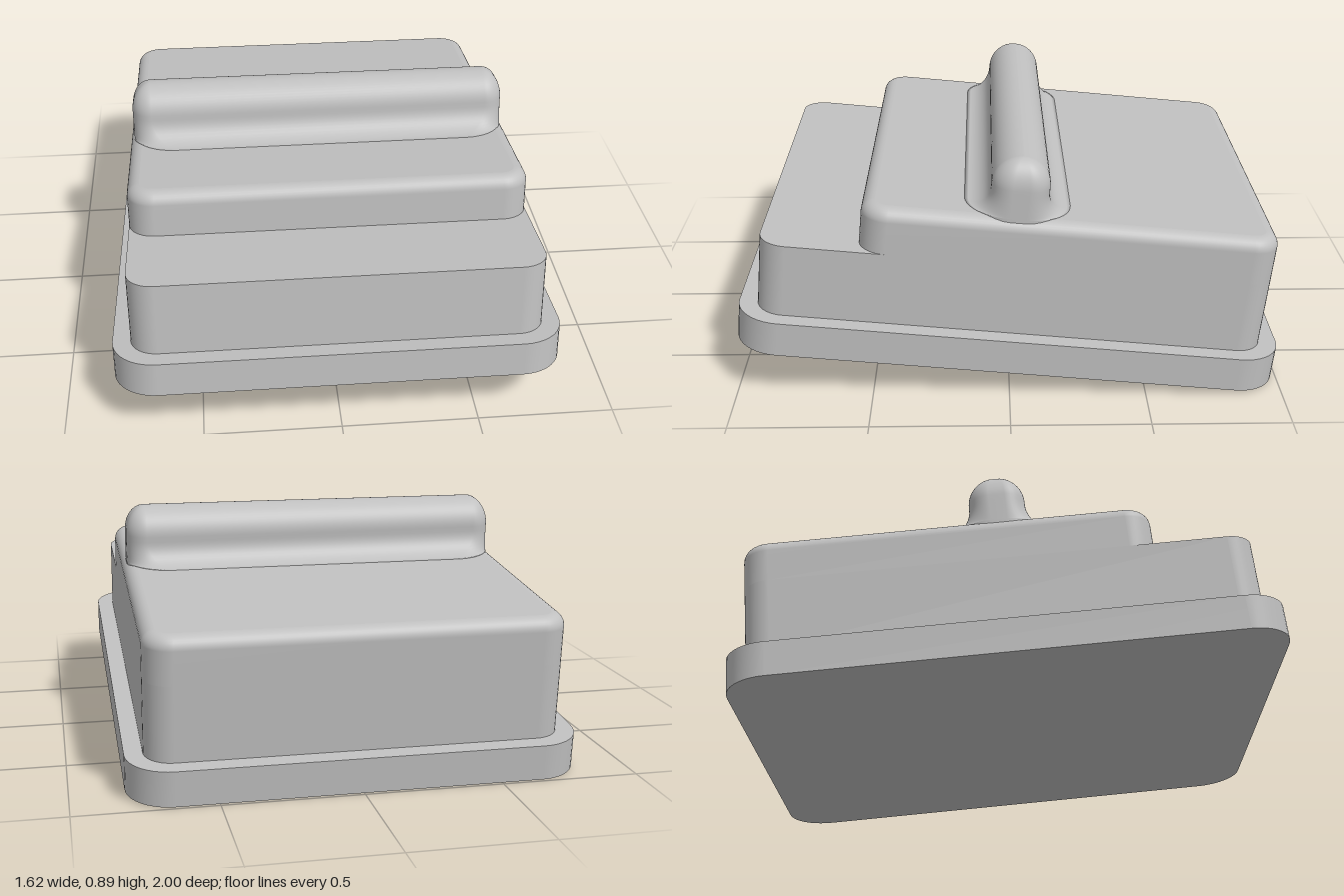
import * as THREE from 'three';

// Rounded-rectangle outline in the xz plane
function outline({ hw, hd, r, y, z = 0 }, seg = 10) {
  const rad = Math.min(r, hw, hd), pts = [];
  const corners = [[1, 1], [-1, 1], [-1, -1], [1, -1]];
  corners.forEach(([sx, sz], k) => {
    for (let i = 0; i <= seg; i++) {
      const a = (k + i / seg) * Math.PI / 2;
      pts.push([sx * (hw - rad) + rad * Math.cos(a), y, z + sz * (hd - rad) + rad * Math.sin(a)]);
    }
  });
  return pts;
}

// Skin stacked outlines with smooth walls and crisp end caps
function loft(rings) {
  const pos = [], idx = [];
  const loops = rings.map((ring) => outline(ring));
  const n = loops[0].length;
  loops.forEach((loop) => loop.forEach((p) => pos.push(...p)));
  for (let i = 0; i < loops.length - 1; i++) {
    for (let j = 0; j < n; j++) {
      const k = (j + 1) % n;
      const a = i * n + j, b = i * n + k, c = a + n, d = b + n;
      idx.push(a, c, b, b, c, d);
    }
  }
  [0, loops.length - 1].forEach((level) => {
    const start = pos.length / 3;
    loops[level].forEach((p) => pos.push(...p));
    pos.push(0, rings[level].y, rings[level].z || 0);
    for (let j = 0; j < n; j++) {
      const a = start + j, b = start + (j + 1) % n;
      if (level === 0) idx.push(start + n, a, b);
      else idx.push(start + n, b, a);
    }
  });
  const geo = new THREE.BufferGeometry();
  geo.setAttribute('position', new THREE.Float32BufferAttribute(pos, 3));
  geo.setIndex(idx);
  geo.computeVertexNormals();
  return geo;
}

export function createModel() {
  const grey = new THREE.MeshStandardMaterial({ color: 0xc0c0c0 });
  grey.name = 'light grey';

  const body = new THREE.Group();
  body.name = 'tiltedBody';
  const add = (name, rings) => {
    const mesh = new THREE.Mesh(loft(rings), grey);
    mesh.name = name;
    body.add(mesh);
  };

  // Wide base plate
  const plate = { hw: 0.81, hd: 0.9975, r: 0.16 };
  add('basePlate', [{ ...plate, y: 0 }, { ...plate, y: 0.13 }]);

  // Lower housing, whose front forms the step
  const lower = { hw: 0.745, hd: 0.93, r: 0.1 };
  add('lowerHousing', [{ ...lower, y: 0.13 }, { ...lower, y: 0.406 }]);

  // Upper housing, flush at the back, with a rounded top edge
  const top = 0.577, edge = 0.048, upperZ = -0.177, upperDepth = 0.753;
  const upper = [{ hw: 0.745, hd: upperDepth, r: 0.1, y: 0.406, z: upperZ }];
  for (let i = 0; i <= 8; i++) {
    const t = i / 8 * Math.PI / 2, inset = edge * (1 - Math.cos(t));
    upper.push({
      hw: 0.745 - inset, hd: upperDepth - inset, r: 0.1 - inset,
      y: top - edge + edge * Math.sin(t), z: upperZ,
    });
  }
  add('upperHousing', upper);

  // Grip bar: flared foot, short upright sides and a domed top
  const gripZ = 0.018, half = 0.105, flare = 0.088, endR = 0.075;
  const grip = [{ hw: 0.73, hd: half + flare, r: endR + flare, y: 0.5, z: gripZ }];
  for (let i = 0; i <= 10; i++) {
    const t = i / 10 * Math.PI / 2, out = flare * (1 - Math.sin(t));
    grip.push({
      hw: 0.73, hd: half + out, r: endR + out,
      y: top + flare * (1 - Math.cos(t)), z: gripZ,
    });
  }
  for (let i = 0; i <= 14; i++) {
    const t = i / 14 * 1.56, c = Math.cos(t);
    grip.push({
      hw: 0.73 - endR * (1 - c), hd: half * c, r: endR * c,
      y: 0.684 + half * Math.sin(t), z: gripZ,
    });
  }
  add('gripBar', grip);

  // The whole body leans back, front edge raised
  body.rotation.x = -0.0985;
  body.position.set(0, 0.0981, 0.0064);

  const model = new THREE.Group();
  model.name = 'wedgeBlockWithGrip';
  model.add(body);
  return model;
}
